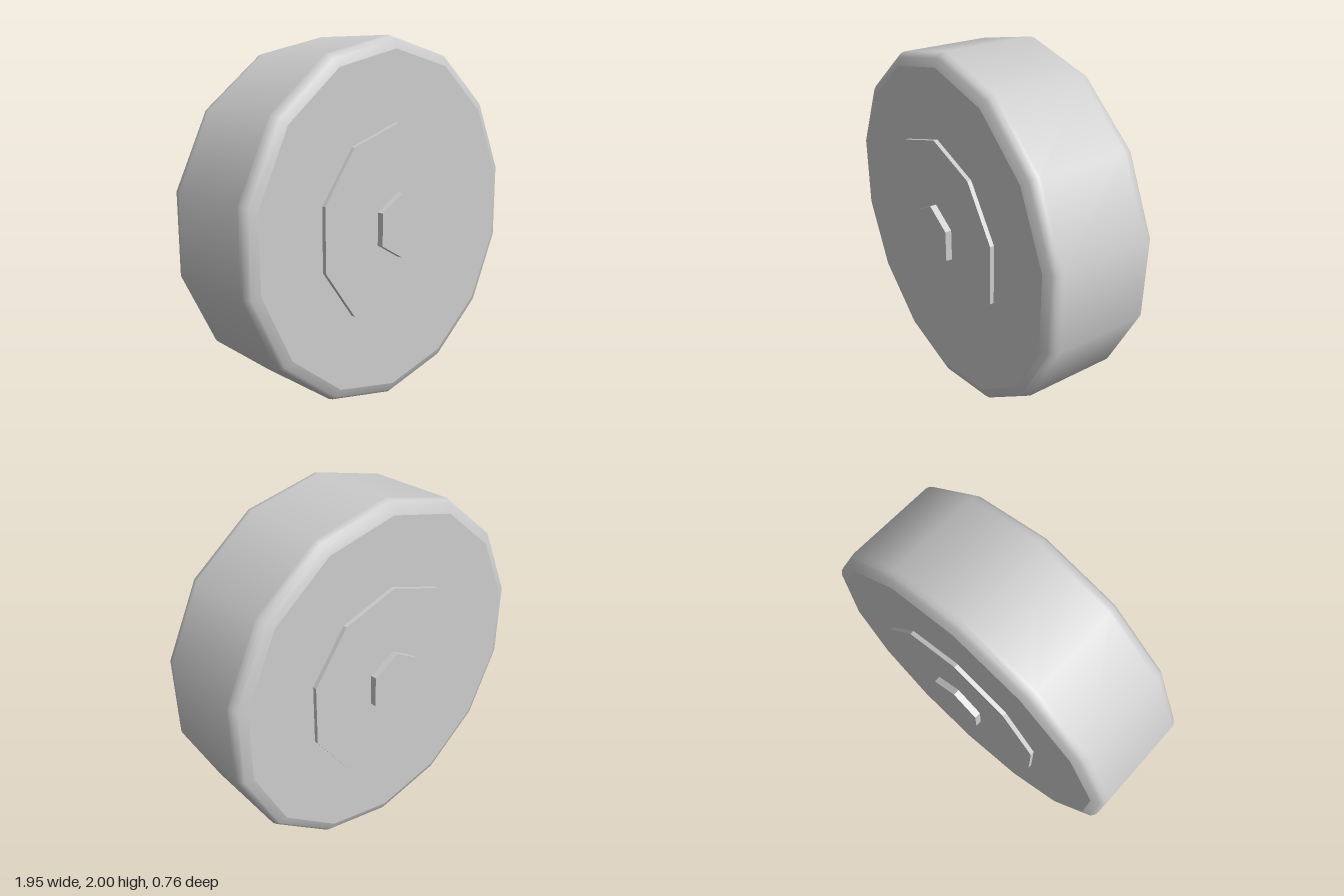
import * as THREE from 'three';

export function createModel() {
  const model = new THREE.Group();
  const grey = new THREE.MeshStandardMaterial({ color: 0xcccccc });
  grey.name = 'light grey';

  const add = (name, geometry, z = 0) => {
    const mesh = new THREE.Mesh(geometry, grey);
    mesh.name = name;
    mesh.position.set(0, 1, z);
    model.add(mesh);
  };

  // Wheel rim: fourteen sides, smooth tread with rounded shoulders
  const SIDES = 14, RADIUS = 1, HALF = 0.32;
  const shoulder = [[0.93, HALF], [0.975, 0.303], [0.993, 0.285], [RADIUS, 0.262], [RADIUS, 0.25]];
  const profile = [
    ...shoulder.map(([r, y]) => new THREE.Vector2(r, -y)),
    ...shoulder.slice().reverse().map(([r, y]) => new THREE.Vector2(r, y)),
  ];
  add('tread', new THREE.LatheGeometry(profile, SIDES).rotateX(Math.PI / 2));

  // Flat side walls
  for (const side of [1, -1]) {
    const wall = new THREE.CircleGeometry(shoulder[0][0], SIDES, Math.PI / 2);
    if (side < 0) wall.rotateY(Math.PI);
    add(side > 0 ? 'frontWall' : 'backWall', wall, side * HALF);
  }

  // Faceted hub disc and axle, each running through both sides
  const prism = (radius, length, sides) => {
    const g = new THREE.CylinderGeometry(radius, radius, length, sides)
      .rotateX(Math.PI / 2).toNonIndexed();
    g.computeVertexNormals();
    return g;
  };
  add('hubDisc', prism(0.55, 0.686, 10));
  add('axle', prism(0.178, 0.758, 6));

  return model;
}
